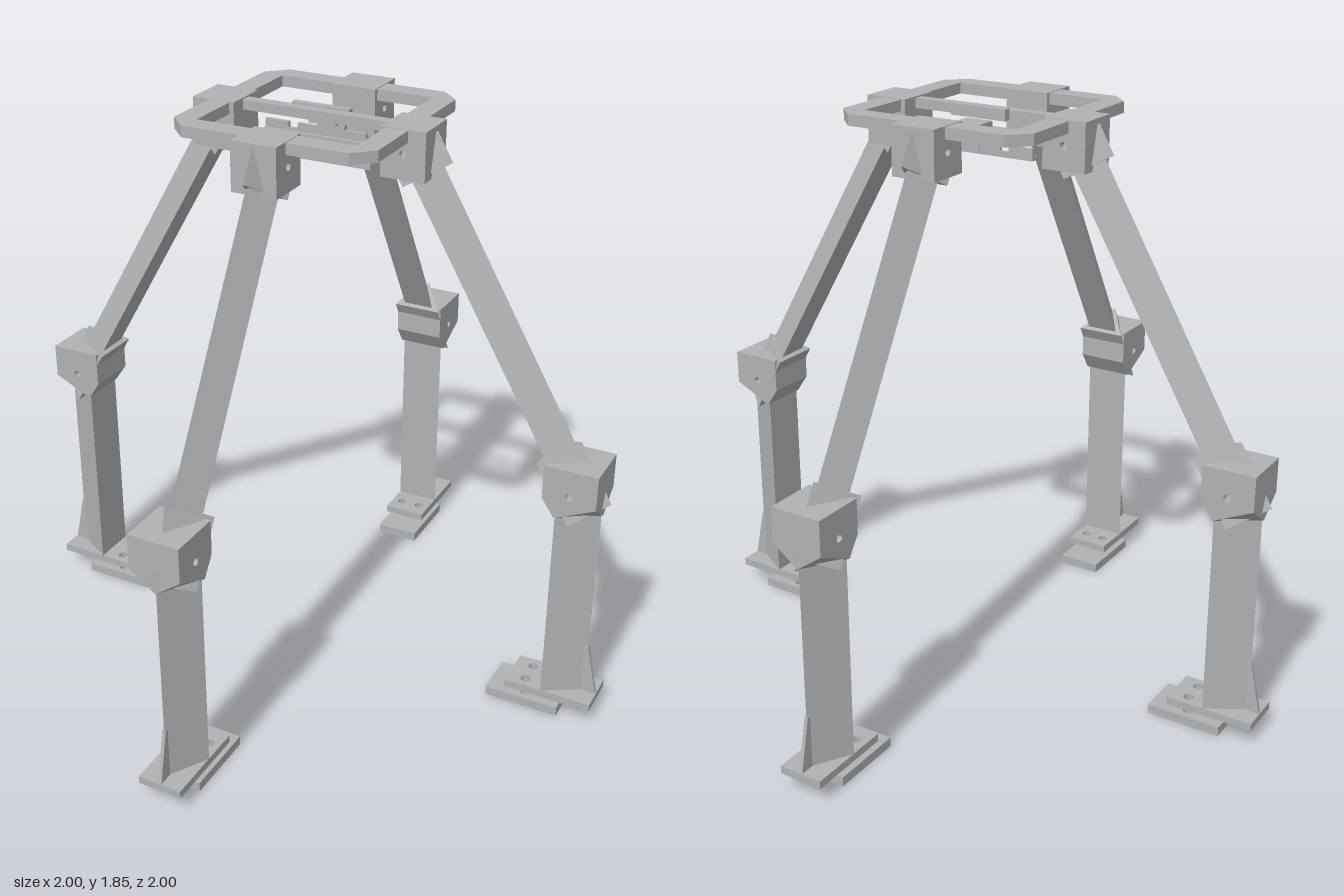
import * as THREE from 'three';
import { ConvexGeometry } from 'three/addons/geometries/ConvexGeometry.js';

const grey = new THREE.MeshStandardMaterial({ color: 0xb2b2b2 });
grey.name = 'plain grey';

function add(parent, name, geometry) {
  const mesh = new THREE.Mesh(geometry, grey);
  mesh.name = name;
  parent.add(mesh);
  return mesh;
}

// Polygon with optional round holes [x, y, radius]
function polygon(points, holes = []) {
  const shape = new THREE.Shape(points.map(([x, y]) => new THREE.Vector2(x, y)));
  for (const [x, y, r] of holes) shape.holes.push(new THREE.Path().absarc(x, y, r, 0, Math.PI * 2, true));
  return shape;
}

const rect = (x0, y0, x1, y1) => [[x0, y0], [x1, y0], [x1, y1], [x0, y1]];

function extrude(shape, depth) {
  return new THREE.ExtrudeGeometry(shape, { depth, bevelEnabled: false, curveSegments: 10 });
}

// Box given by its limits
function box(parent, name, x0, x1, y0, y1, z0, z1) {
  const mesh = add(parent, name, new THREE.BoxGeometry(x1 - x0, y1 - y0, z1 - z0));
  mesh.position.set((x0 + x1) / 2, (y0 + y1) / 2, (z0 + z1) / 2);
}

// Horizontal plate drawn in x and z, hanging down from its top
function plate(parent, name, shape, top, thickness) {
  add(parent, name, extrude(shape, thickness).rotateX(Math.PI / 2)).position.y = top;
}

// Upright slab drawn in x and y, centred on z = 0
function slab(parent, name, shape, width) {
  add(parent, name, extrude(shape, width).translate(0, 0, -width / 2));
}

// Triangular bar: its outer ridge starts at (x, y) and runs down, tilted outward
function triangleBar(parent, name, x, y, tilt, length, halfWidth, height) {
  const section = polygon([[0, 0], [-height, halfWidth], [-height, -halfWidth]]);
  const basis = new THREE.Matrix4().makeBasis(
    new THREE.Vector3(Math.cos(tilt), Math.sin(tilt), 0),
    new THREE.Vector3(0, 0, 1),
    new THREE.Vector3(Math.sin(tilt), -Math.cos(tilt), 0));
  const geometry = extrude(section, length).applyMatrix4(basis).translate(x, y, 0);
  add(parent, name, geometry);
}

function createLeg() {
  const leg = new THREE.Group();
  const tilt = Math.PI / 6;

  // Hip block with bolt hole, and the tilted socket below it
  slab(leg, 'hipBlock', polygon(rect(0.24, 1.70, 0.38, 1.85), [[0.31, 1.775, 0.012]]), 0.145);
  triangleBar(leg, 'hipSocket', 0.385, 1.836, tilt, 0.1, 0.07, 0.143);

  // Tilted upper strut
  triangleBar(leg, 'upperStrut', 0.388, 1.77, tilt, 0.98, 0.053, 0.086);

  // Knee: socket of the strut, bored block and tapered collar of the lower leg
  triangleBar(leg, 'kneeSocket', 0.88, 0.96, tilt, 0.215, 0.083, 0.122);
  slab(leg, 'kneeBlock', polygon(rect(0.797, 0.79, 0.965, 0.9), [[0.88, 0.812, 0.012]]), 0.166);
  const collar = [[0.965, 0.73, 0]];
  for (const z of [-0.083, 0.083]) {
    collar.push([0.965, 0.79, z], [0.797, 0.79, z], [0.838, 0.73, z]);
  }
  add(leg, 'kneeCollar', new ConvexGeometry(collar.map((p) => new THREE.Vector3(...p))));

  // Lower leg with a thin outer gusset
  triangleBar(leg, 'lowerLeg', 0.96, 0.76, 0, 0.69, 0.0725, 0.122);
  slab(leg, 'footGusset', polygon([[0.94, 0.075], [0.998, 0.075], [0.96, 0.25], [0.94, 0.25]]), 0.012);

  // Foot plate and the separate ground pad, each with two bolt holes
  const bolts = [[0.775, -0.035, 0.016], [0.775, 0.035, 0.016]];
  plate(leg, 'footPlate', polygon(rect(0.717, -0.072, 1.0, 0.072), bolts), 0.08, 0.025);
  plate(leg, 'groundPad', polygon(rect(0.655, -0.072, 0.895, 0.072), bolts), 0.03, 0.03);
  return leg;
}

export function createModel() {
  const model = new THREE.Group();
  model.name = 'fourLeggedStand';

  // Four equal legs
  for (let i = 0; i < 4; i++) {
    const leg = createLeg();
    leg.name = ['leftLeg', 'backLeg', 'rightLeg', 'frontLeg'][i];
    leg.rotation.y = i * Math.PI / 2;
    model.add(leg);
  }

  // Square top ring with cut corners
  const a = 0.325, c = 0.265, b = 0.255;
  const ring = polygon([[a, -c], [a, c], [c, a], [-c, a], [-a, c], [-a, -c], [-c, -a], [c, -a]]);
  ring.holes.push(new THREE.Path(rect(-b, -b, b, b).reverse().map(([x, y]) => new THREE.Vector2(x, y))));
  plate(model, 'topRing', ring, 1.848, 0.035);

  // Crossbar and the bracket hanging from it
  box(model, 'crossbar', -0.26, 0.26, 1.815, 1.845, -0.018, 0.018);
  box(model, 'crossbarPad', -0.095, 0.095, 1.815, 1.85, -0.042, -0.018);
  box(model, 'bracketArm', -0.045, 0.045, 1.79, 1.81, -0.1, -0.03);
  box(model, 'bracketDrop', -0.045, 0.045, 1.73, 1.81, -0.105, -0.09);

  // Notched rails beneath the ring
  const rail = polygon([[-0.225, 0], [0.225, 0], [0.225, 0.036], [0.145, 0.036], [0.145, 0.018],
    [0.115, 0.018], [0.115, 0.036], [-0.115, 0.036], [-0.115, 0.018], [-0.145, 0.018],
    [-0.145, 0.036], [-0.225, 0.036]]);
  for (const s of [-1, 1]) {
    const side = s < 0 ? 'back' : 'front';
    add(model, side + 'Rail', extrude(rail, 0.012)).position.set(0, 1.725, s * 0.097 - 0.006);
    box(model, side + 'RailFlange', -0.225, 0.225, 1.725, 1.735, s * 0.09 - 0.013, s * 0.09 + 0.013);
  }
  return model;
}
